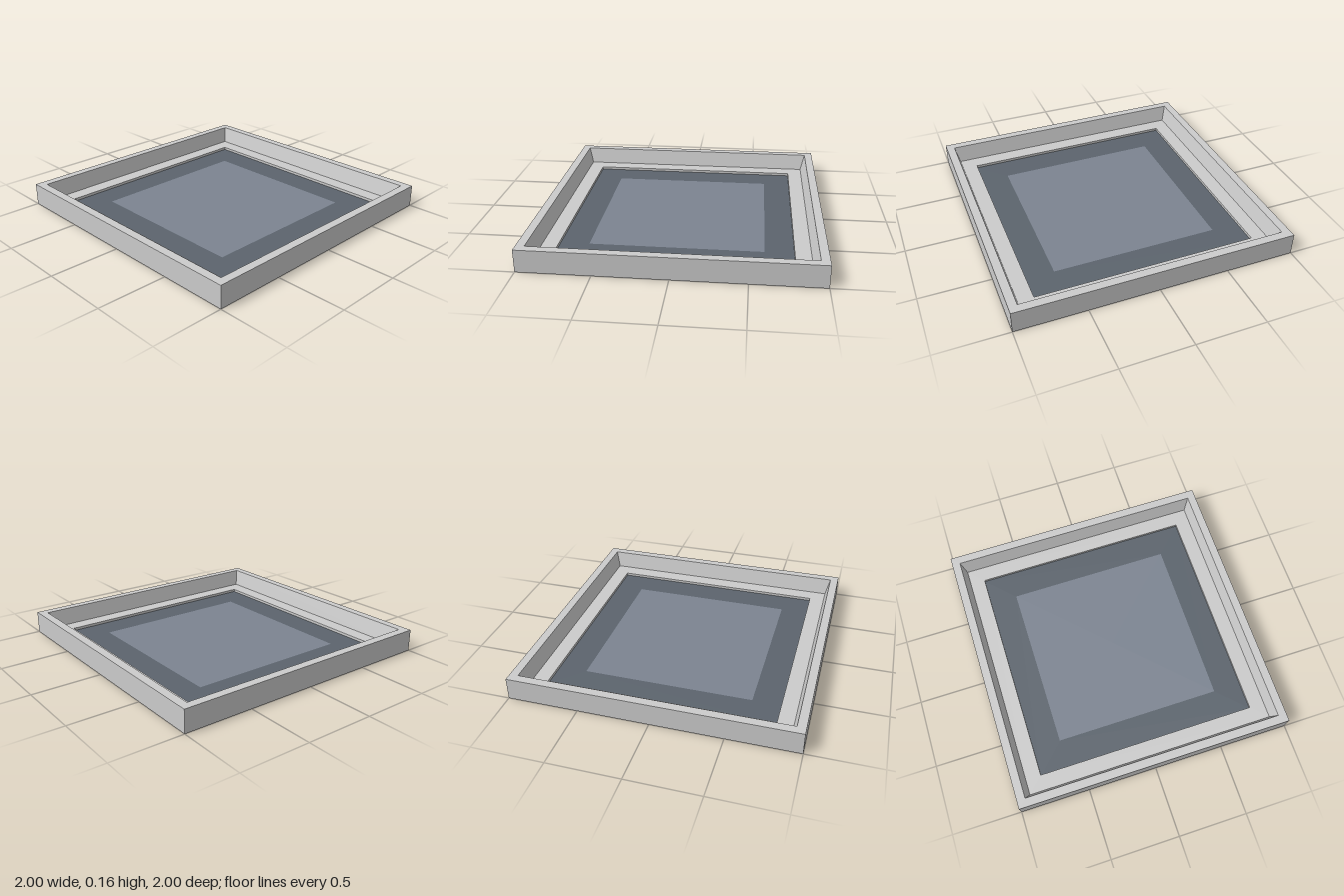
import * as THREE from 'three';

// Square ring surface: sweeps a [halfWidth, height] profile round four sides
function squareSweep(name, profile, color) {
  const points = profile.map(([half, y]) => new THREE.Vector2(half * Math.SQRT2, y));
  const geometry = new THREE.LatheGeometry(points, 4, Math.PI / 4).toNonIndexed();
  geometry.computeVertexNormals();
  const material = new THREE.MeshStandardMaterial({ color, flatShading: true });
  const mesh = new THREE.Mesh(geometry, material);
  mesh.name = name;
  return mesh;
}

export function createModel() {
  const model = new THREE.Group();
  model.name = 'squareTray';
  const ledgeY = 0.04, panelY = 0.02;

  // Base, outer walls, sloped inner walls, ledge and step down to the panel
  model.add(squareSweep('trayFrame', [
    [0, 0], [1, 0], [1, 0.16], [0.94, 0.16], [0.91, ledgeY], [0.8, ledgeY], [0.8, panelY],
  ], 0xcccccc));

  // Recessed panel: dark border around a lighter centre, in one plane
  model.add(squareSweep('panelBorder', [[0.8, panelY], [0.6, panelY]], 0x5c646d));
  model.add(squareSweep('panelCentre', [[0.6, panelY], [0, panelY]], 0x7c8491));

  return model;
}
